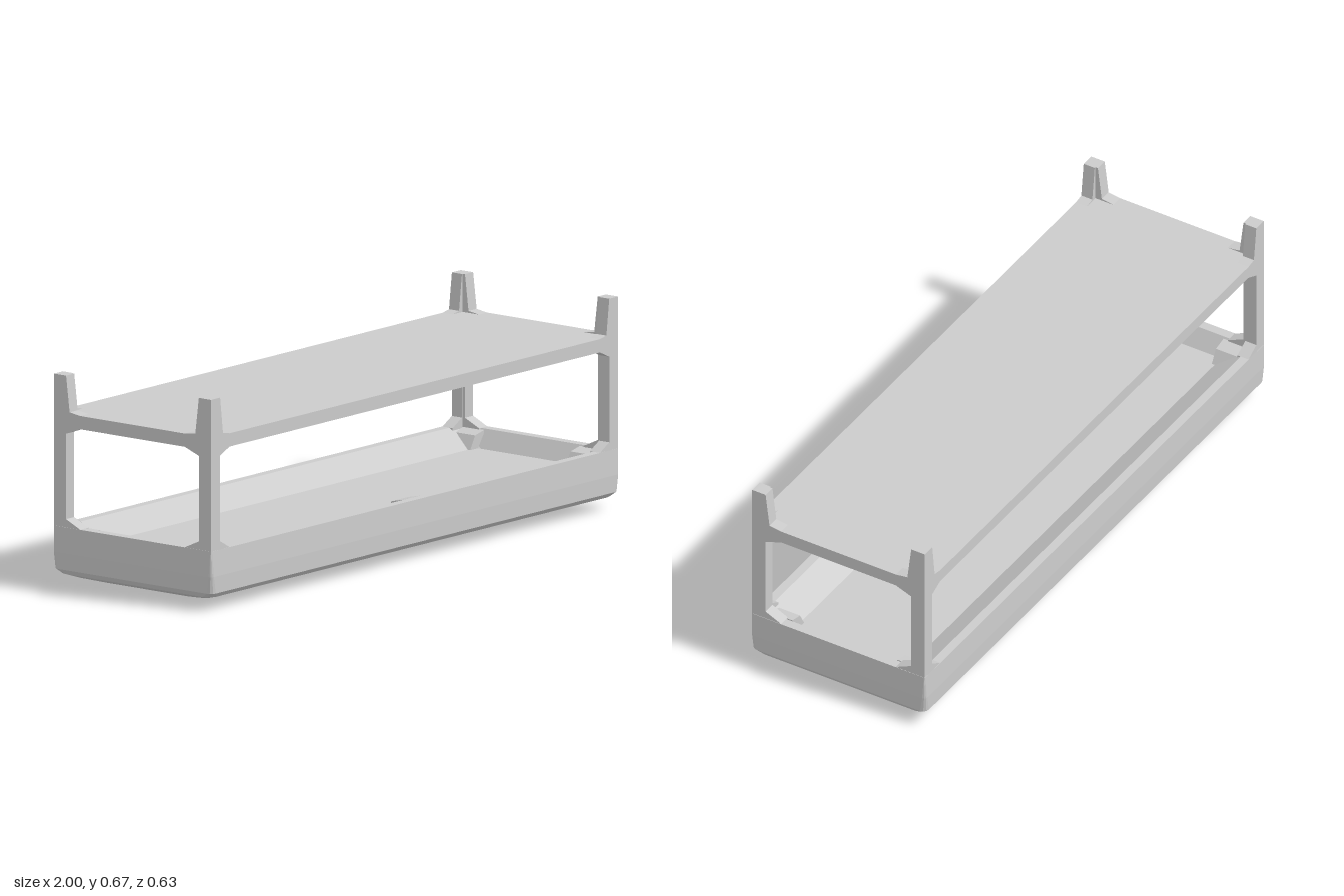
import * as THREE from 'three';

const mat = () => new THREE.MeshStandardMaterial({ color: 0xcccccc, flatShading: true });

function add(parent, name, geometry) {
  const mesh = new THREE.Mesh(geometry, mat());
  mesh.name = name;
  parent.add(mesh);
  return mesh;
}

// Rounded rectangle of points in the xz plane
function ring([hx, hz, y, r]) {
  const pts = [];
  [[1, 1], [-1, 1], [-1, -1], [1, -1]].forEach(([sx, sz], q) => {
    for (let k = 0; k < 4; k++) {
      const a = (q + k / 3) * Math.PI / 2;
      pts.push([sx * (hx - r) + r * Math.cos(a), y, sz * (hz - r) + r * Math.sin(a)]);
    }
  });
  return pts;
}

// Skin through a stack of rings
function loft(sections) {
  const rings = sections.map(ring), n = rings[0].length, index = [];
  for (let i = 0; i < rings.length - 1; i++) {
    for (let j = 0; j < n; j++) {
      const a = i * n + j, b = i * n + (j + 1) % n;
      index.push(a, b, a + n, b, b + n, a + n);
    }
  }
  const g = new THREE.BufferGeometry();
  g.setAttribute('position', new THREE.Float32BufferAttribute(rings.flat(2), 3));
  g.setIndex(index);
  g.computeVertexNormals();
  return g;
}

// Two posts joined by a beam, with flared corners; open at the bottom
function frameGeometry(w, post, flare, depth) {
  const over = [[w, 0.16], [w, 0.67], [w - post, 0.67], [w - post - 0.014, 0.556], [w - flare, 0.55]];
  const under = [[w - flare, 0.508], [w - post, 0.487], [w - post, 0.217], [w - flare, 0.191], [w - flare, 0.16]];
  const flip = (list) => list.map(([x, y]) => [-x, y]).reverse();
  const outline = [...over, ...flip(over), ...flip(under), ...under];
  const shape = new THREE.Shape(outline.map(([x, y]) => new THREE.Vector2(x, y)));
  return new THREE.ExtrudeGeometry(shape, { depth, bevelEnabled: false }).translate(0, 0, -depth);
}

export function createModel() {
  const model = new THREE.Group();
  model.name = 'twoTierTray';
  const W = 0.997, D = 0.313, T = 0.04;

  // Lower tray: floor, sloped inner wall, rim, outer wall, shallow curved base
  add(model, 'tray', loft([
    [0.6, 0, 0.135, 0],
    [0.93, 0.2, 0.135, 0.02],
    [0.967, 0.285, 0.191, 0.02],
    [0.998, 0.314, 0.191, 0.004],
    [1.0, 0.317, 0.11, 0.012],
    [0.998, 0.316, 0.056, 0.02],
    [0.988, 0.302, 0.041, 0.03],
    [0.965, 0.27, 0.031, 0.035],
    [0.92, 0.2, 0.017, 0.04],
    [0.86, 0.12, 0.008, 0.04],
    [0.7, 0, 0, 0],
  ]));

  // Frames on the four sides; their posts meet at the corners
  for (const s of [1, -1]) {
    const long = add(model, s > 0 ? 'frontFrame' : 'backFrame', frameGeometry(W, 0.044, 0.09, T));
    long.position.z = s * D;
    long.rotation.y = s > 0 ? 0 : Math.PI;
    const short = add(model, s > 0 ? 'leftFrame' : 'rightFrame', frameGeometry(D, 0.049, 0.105, T));
    short.position.x = s * W;
    short.rotation.y = s * Math.PI / 2;
  }

  // Upper shelf, flush with the top of the beams
  add(model, 'shelf', new THREE.BoxGeometry(2 * (W - T), 0.032, 2 * (D - T)).translate(0, 0.534, 0));

  // Small sloped blocks inside the tray
  const wedge = new THREE.Shape([[0, 0], [0.07, 0], [0.045, 0.045], [0, 0.055]].map((p) => new THREE.Vector2(...p)));
  const wedgeGeometry = new THREE.ExtrudeGeometry(wedge, { depth: 0.08, bevelEnabled: false })
    .translate(-0.02, 0.133, -0.04);
  for (const sx of [1, -1]) {
    for (const sz of [1, -1]) {
      const block = add(model, 'cornerBlock', wedgeGeometry);
      block.position.set(sx * 0.94, 0, sz * 0.23);
      block.rotation.y = sx > 0 ? Math.PI : 0;
    }
  }
  const middle = add(model, 'wallBlock', wedgeGeometry);
  middle.position.set(0.03, 0, 0.255);
  middle.rotation.y = Math.PI / 2;

  return model;
}
